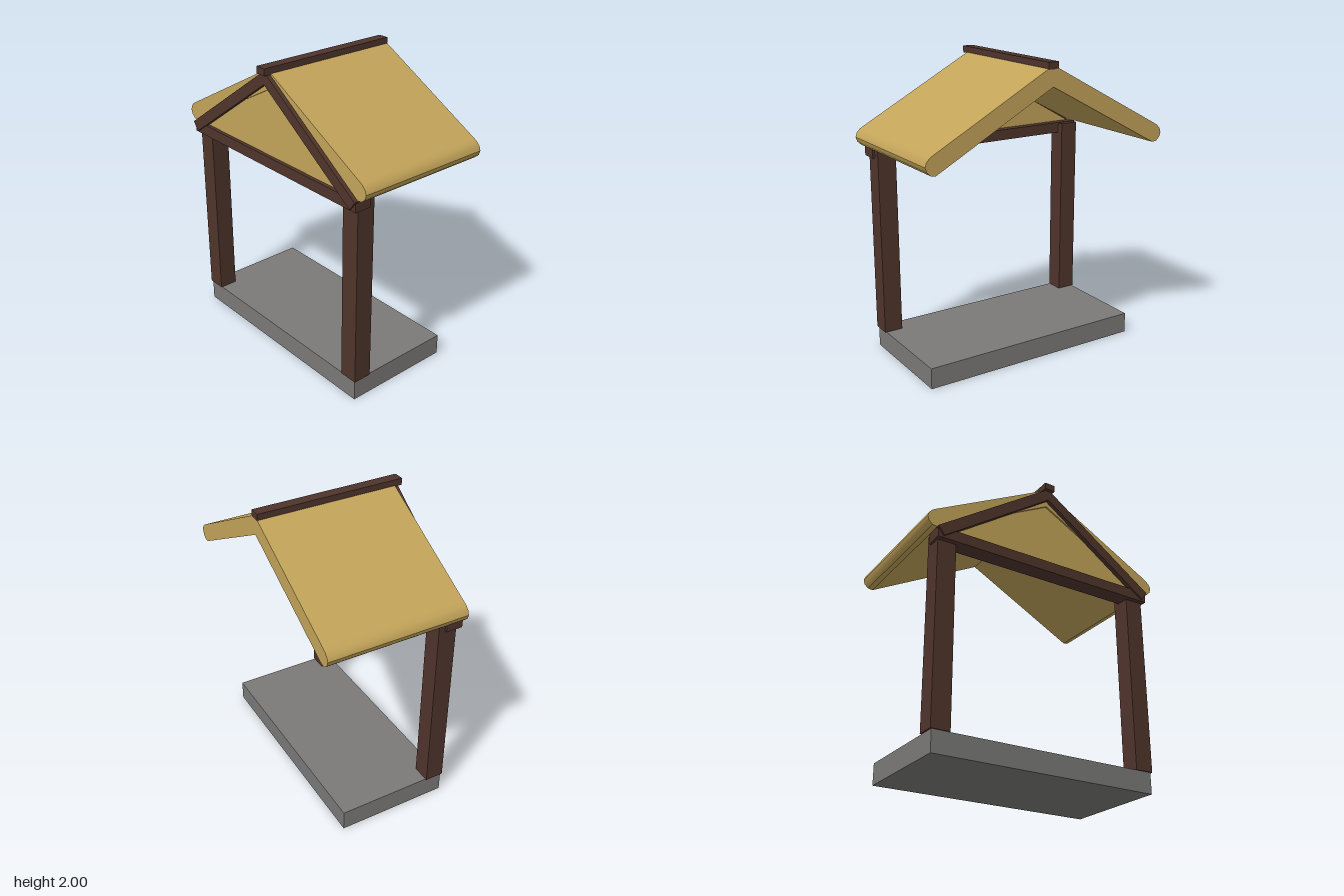
import * as THREE from 'three';
import { toCreasedNormals } from 'three/addons/utils/BufferGeometryUtils.js';

const mat = (name, color) => {
  const m = new THREE.MeshStandardMaterial({ color });
  m.name = name;
  return m;
};

export function createModel() {
  const wood = mat('dark wood', 0x4e342b);
  const thatch = mat('straw', 0xc2a359);
  const stone = mat('grey stone', 0x7a7978);
  const group = new THREE.Group();

  const add = (name, geometry, material) => {
    const mesh = new THREE.Mesh(geometry, material);
    mesh.name = name;
    group.add(mesh);
  };
  // box given by its limits on each axis
  const box = (name, material, [x0, x1], [y0, y1], [z0, z1]) => {
    const g = new THREE.BoxGeometry(x1 - x0, y1 - y0, z1 - z0);
    g.translate((x0 + x1) / 2, (y0 + y1) / 2, (z0 + z1) / 2);
    add(name, g, material);
  };
  // outline in x and y, extruded from z0 to z1
  const slab = (points, z0, z1) => {
    const shape = new THREE.Shape(points.map(([x, y]) => new THREE.Vector2(x, y)));
    const g = new THREE.ExtrudeGeometry(shape, { depth: z1 - z0, bevelEnabled: false });
    return g.translate(0, 0, z0);
  };

  // base and uprights
  box('base', stone, [-0.78, 0.78], [0, 0.14], [-0.33, 0.425]);
  box('leftPost', wood, [0.663, 0.79], [0.14, 1.415], [0.306, 0.432]);
  box('rightPost', wood, [-0.79, -0.663], [0.14, 1.415], [0.306, 0.432]);
  box('crossBeam', wood, [-0.805, 0.805], [1.345, 1.418], [0.35, 0.465]);

  // roof: one section with rounded eaves, mirrored about the ridge
  const half = [
    [0.81, 1.545], [0.84, 1.528], [0.864, 1.503], [0.873, 1.475],
    [0.863, 1.445], [0.838, 1.422], [0.805, 1.418],
  ];
  const mirrored = half.map(([x, y]) => [-x, y]).reverse();
  const roof = slab([[0, 1.98], ...half, [0, 1.85], ...mirrored], -0.5, 0.45);
  add('roof', toCreasedNormals(roof, 0.6), thatch);

  // gable panel under the roof
  add('gable', slab([[-0.79, 1.41], [0.79, 1.41], [0, 1.86]], 0.405, 0.44), thatch);

  // front rafters
  for (const s of [1, -1]) {
    const pts = [[0, 1.972], [0.81, 1.414], [0.768, 1.355], [0, 1.888]].map(([x, y]) => [s * x, y]);
    add(s > 0 ? 'leftRafter' : 'rightRafter', slab(pts, 0.445, 0.477), wood);
  }

  // ridge beam
  box('ridgeBeam', wood, [-0.037, 0.037], [1.955, 2], [-0.5, 0.5]);

  return group;
}
